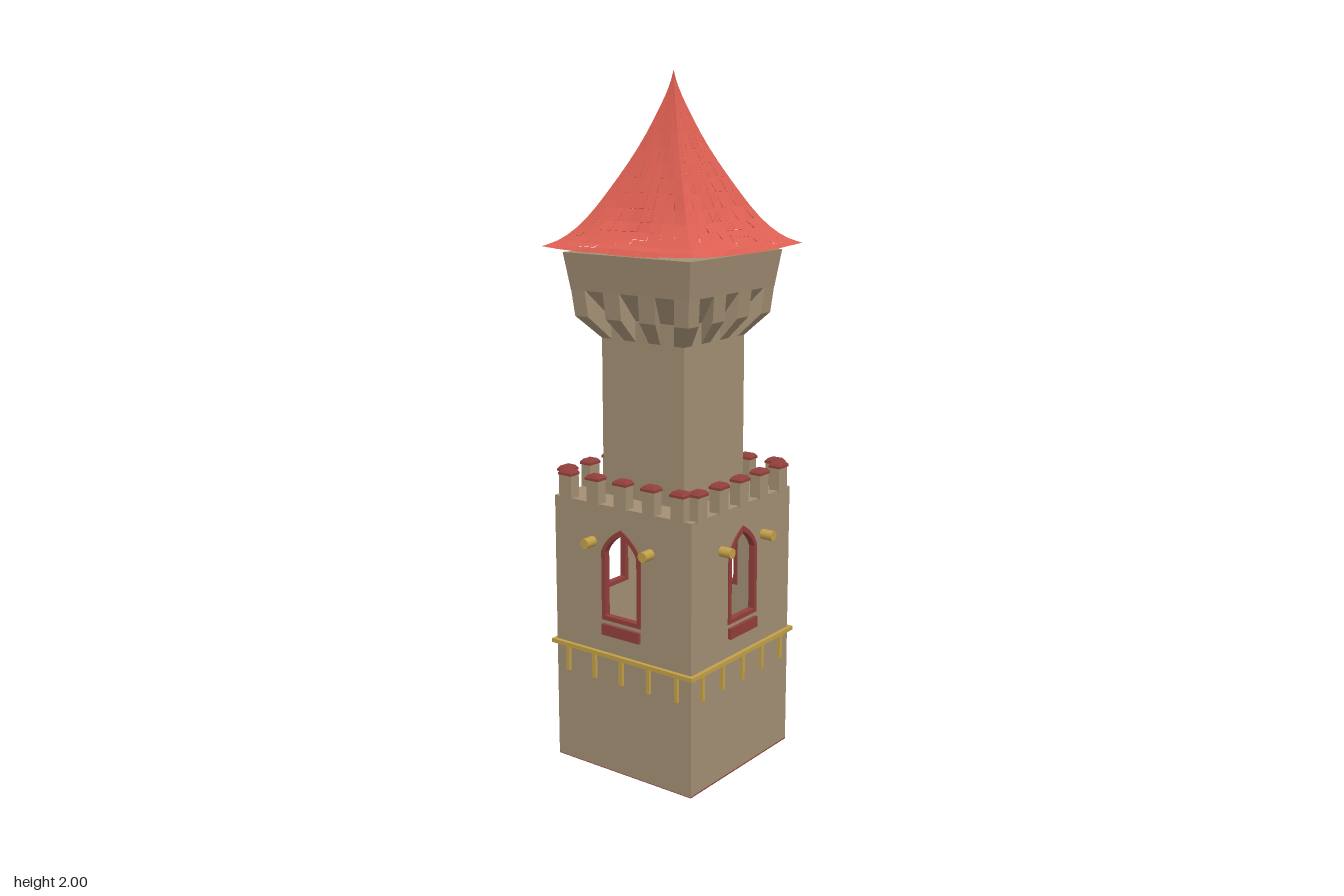
import * as THREE from 'three';
import { ConvexGeometry } from 'three/addons/geometries/ConvexGeometry.js';

const stone = new THREE.MeshStandardMaterial({ name: 'stone', color: 0xa38f74 });
const roofRed = new THREE.MeshStandardMaterial({ name: 'roof red', color: 0xdd5f52, side: THREE.DoubleSide });
const trimRed = new THREE.MeshStandardMaterial({ name: 'trim red', color: 0x923f3c });
const gold = new THREE.MeshStandardMaterial({ name: 'gold', color: 0xc2a048 });

function add(parent, name, geometry, material, x = 0, y = 0, z = 0) {
  const mesh = new THREE.Mesh(geometry, material);
  mesh.name = name;
  mesh.position.set(x, y, z);
  parent.add(mesh);
  return mesh;
}

const box = (w, h, d) => new THREE.BoxGeometry(w, h, d);

// Flat-sided square frustum, given half widths and heights
function frustum(bottom, top, y0, y1, open = false) {
  const g = new THREE.CylinderGeometry(top * Math.SQRT2, bottom * Math.SQRT2, y1 - y0, 4, 1, open)
    .rotateY(Math.PI / 4).translate(0, (y0 + y1) / 2, 0).toNonIndexed();
  g.computeVertexNormals();
  return g;
}

// Pointed arch outline
function arch(path, w, y0, spring, apex) {
  path.moveTo(-w, y0);
  path.lineTo(w, y0);
  path.lineTo(w, spring);
  path.quadraticCurveTo(w * 0.75, spring + (apex - spring) * 0.6, 0, apex);
  path.quadraticCurveTo(-w * 0.75, spring + (apex - spring) * 0.6, -w, spring);
  path.closePath();
  return path;
}

const extrude = (shape, depth) =>
  new THREE.ExtrudeGeometry(shape, { depth, bevelEnabled: false, curveSegments: 6 });

// Wall with window, sill, pegs, rail and battlements, facing +z
function bodySide() {
  const side = new THREE.Group();
  side.name = 'bodySide';
  const H = 0.245;
  const wall = new THREE.Shape([[-H, 0.002], [H, 0.002], [H, 0.805], [-H, 0.805]].map(p => new THREE.Vector2(...p)));
  wall.holes.push(arch(new THREE.Path(), 0.062, 0.473, 0.67, 0.732));
  add(side, 'wall', extrude(wall, 0.012), stone, 0, 0, H - 0.012);
  add(side, 'bottomRim', box(2 * H, 0.004, 0.012), trimRed, 0, 0.002, H - 0.006);

  const frame = arch(new THREE.Shape(), 0.07, 0.465, 0.67, 0.742);
  frame.holes.push(arch(new THREE.Path(), 0.057, 0.478, 0.668, 0.725));
  add(side, 'windowFrame', extrude(frame, 0.02), trimRed, 0, 0, H - 0.016);
  add(side, 'windowSill', box(0.135, 0.032, 0.02), trimRed, 0, 0.437, H);

  for (const x of [-0.104, 0.104]) {
    const peg = new THREE.CylinderGeometry(0.015, 0.015, 0.055, 14).rotateX(Math.PI / 2);
    add(side, 'peg', peg, gold, x, 0.692, 0.2555);
  }

  add(side, 'rail', box(0.514, 0.012, 0.014), gold, 0, 0.36, 0.25);
  for (let i = -2; i <= 2; i++) {
    add(side, 'railBracket', box(0.012, 0.075, 0.01), gold, i * 0.099, 0.317, 0.249);
    add(side, 'merlon', box(0.043, 0.075, 0.034), stone, i * 0.1, 0.837, 0.233);
    // Chamfered merlon cap
    const w = 0.024, d = 0.0195, pts = [];
    for (const [y, s] of [[0, 1], [0.007, 1], [0.015, 0.7]])
      for (const sx of [-1, 1]) for (const sz of [-1, 1]) pts.push(new THREE.Vector3(sx * w * s, y, sz * d * s));
    add(side, 'merlonCap', new ConvexGeometry(pts), trimRed, i * 0.1, 0.871, 0.234);
  }
  return side;
}

// Corbels fanning out under the tower head, facing +z
function corbelSide() {
  const side = new THREE.Group();
  side.name = 'corbels';
  const profile = [[0.14, 1.255], [0.198, 1.325], [0.206, 1.405], [0.14, 1.405]];
  for (const [a, b] of [[-1, -0.76], [-0.44, -0.16], [0.16, 0.44], [0.76, 1]]) {
    const pts = profile.flatMap(([z, y]) => [a, b].map(u => new THREE.Vector3(u * z, y, z)));
    add(side, 'corbel', new ConvexGeometry(pts), stone);
  }
  return side;
}

// Uneven shingle rows on a flared pyramid, facing +z
function roofSide(seed) {
  const rand = () => {
    seed = (seed * 16807) % 2147483647;
    return seed / 2147483647 - 0.5;
  };
  const curve = new THREE.SplineCurve([[0.262, 1.522], [0.22, 1.545], [0.172, 1.6], [0.115, 1.7],
    [0.066, 1.8], [0.027, 1.9], [0.008, 1.96], [0, 2]].map(p => new THREE.Vector2(...p)));
  const rows = 18, cols = 9, pos = [], index = [];
  for (let r = 0; r < rows; r++) {
    const lo = curve.getPoint(r / rows), hi = curve.getPoint((r + 1) / rows);
    const wobble = Math.min(1, lo.x * 6);
    for (let c = 0; c < cols; c++) {
      const u0 = -1 + 2 * c / cols, u1 = -1 + 2 * (c + 1) / cols;
      const out = r === 0 ? 0 : 0.003 * wobble;
      const lift = rand() * 0.003 * wobble;
      const bottom = u => {
        const mid = 1 - u * u;
        const sag = r === 0 ? -0.009 * mid : 0;
        const z = lo.x + (out + lift + 0.003 * Math.sin(u * 6 + r)) * Math.min(1, mid * 2) * wobble;
        return [u * lo.x, lo.y + sag + lift * mid, z];
      };
      const n = pos.length / 3;
      pos.push(...bottom(u0), ...bottom(u1), u1 * hi.x, hi.y, hi.x, u0 * hi.x, hi.y, hi.x);
      index.push(n, n + 1, n + 2, n, n + 2, n + 3);
    }
  }
  const g = new THREE.BufferGeometry();
  g.setAttribute('position', new THREE.Float32BufferAttribute(pos, 3));
  g.setIndex(index);
  const flat = g.toNonIndexed();
  flat.computeVertexNormals();
  const side = new THREE.Group();
  side.name = 'roofSide';
  add(side, 'shingles', flat, roofRed);
  return side;
}

export function createModel() {
  const model = new THREE.Group();
  model.name = 'tower';

  // Upper shaft, flared head and the deck behind the battlements
  add(model, 'deck', box(0.47, 0.012, 0.47), stone, 0, 0.798, 0);
  add(model, 'shaft', frustum(0.145, 0.145, 0.8, 1.34), stone);
  add(model, 'headSoffit', frustum(0.145, 0.205, 1.32, 1.402), stone);
  add(model, 'head', frustum(0.206, 0.221, 1.4, 1.505), stone);

  // Everything that repeats on the four sides
  for (let i = 0; i < 4; i++) {
    for (const side of [bodySide(), corbelSide(), roofSide(1234 + i * 777)]) {
      side.rotation.y = i * Math.PI / 2;
      model.add(side);
    }
  }
  return model;
}
